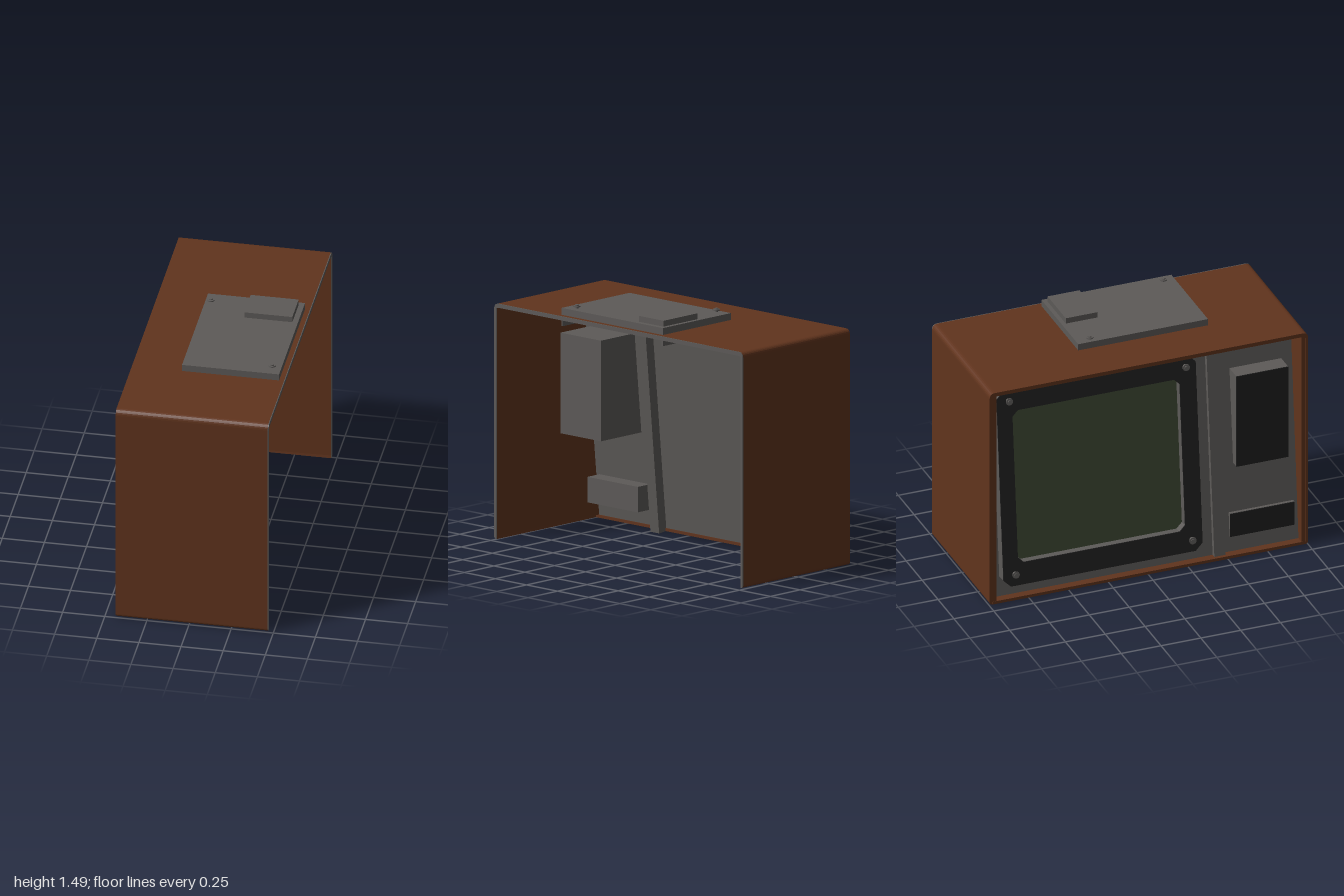
import * as THREE from 'three';

const mat = (name, color) => {
  const m = new THREE.MeshStandardMaterial({ color });
  m.name = name;
  return m;
};

export function createModel() {
  const brown = mat('wood brown', 0x61341d);
  const grey = mat('metal grey', 0x5d5a58);
  const black = mat('bezel black', 0x212121);
  const green = mat('screen green', 0x3c4732);
  const model = new THREE.Group();
  model.name = 'televisionCabinet';

  const add = (parent, name, geometry, material) => {
    const mesh = new THREE.Mesh(geometry, material);
    mesh.name = name;
    parent.add(mesh);
    return mesh;
  };
  // box given by its limits on each axis
  const box = (parent, name, [x0, x1], [y0, y1], [z0, z1], material) => {
    const g = new THREE.BoxGeometry(x1 - x0, y1 - y0, z1 - z0);
    g.translate((x0 + x1) / 2, (y0 + y1) / 2, (z0 + z1) / 2);
    return add(parent, name, g, material);
  };
  // shape drawn in (z, y), extruded between two x positions
  const slab = (parent, name, shape, x0, x1, material) => {
    const g = new THREE.ExtrudeGeometry(shape, { depth: x1 - x0, bevelEnabled: false, curveSegments: 6 });
    g.rotateY(-Math.PI / 2).translate(x1, 0, 0);
    return add(parent, name, g, material);
  };
  // rectangle with cut corners
  const chamfered = (z0, z1, y0, y1, c, Type = THREE.Shape) => {
    const p = [[z0 + c, y0], [z1 - c, y0], [z1, y0 + c], [z1, y1 - c],
      [z1 - c, y1], [z0 + c, y1], [z0, y1 - c], [z0, y0 + c]];
    return new Type(p.map(([a, b]) => new THREE.Vector2(a, b)));
  };
  // small thumb screw pointing up
  const screw = (parent, x, y, z) => {
    const s = new THREE.Group();
    s.name = 'screw';
    [[0.012, 0, 0.006], [0.008, 0.006, 0.022], [0.022, 0.022, 0.029], [0.012, 0.029, 0.035]].forEach(([r, a, b]) => {
      const g = new THREE.CylinderGeometry(r, r, b - a, 16);
      add(s, 'screwPart', g.translate(0, (a + b) / 2, 0), grey);
    });
    s.position.set(x, y, z);
    parent.add(s);
    return s;
  };

  // Cabinet shell: top and two sides, open at the bottom and both ends
  const X0 = -0.435, X1 = 0.472, B = 0.006, T = 1.412, W = 0.018, TW = 0.024, R = 0.035, RB = 0.02;
  const shell = new THREE.Shape();
  shell.moveTo(1 - RB, B);
  shell.quadraticCurveTo(1, B, 1, B + RB);
  shell.lineTo(1, T - R);
  shell.quadraticCurveTo(1, T, 1 - R, T);
  shell.lineTo(-1 + R, T);
  shell.quadraticCurveTo(-1, T, -1, T - R);
  shell.lineTo(-1, B + RB);
  shell.quadraticCurveTo(-1, B, -1 + RB, B);
  shell.lineTo(-1 + W, B + RB);
  shell.lineTo(-1 + W, T - R);
  shell.quadraticCurveTo(-1 + W, T - TW, -1 + R, T - TW);
  shell.lineTo(1 - R, T - TW);
  shell.quadraticCurveTo(1 - W, T - TW, 1 - W, T - R);
  shell.lineTo(1 - W, B + RB);
  shell.closePath();
  slab(model, 'cabinetShell', shell, X0, X1 - 0.005, brown);
  slab(model, 'cabinetRim', shell, X1 - 0.005, X1, grey);
  box(model, 'bottomLip', [X0, -0.37], [B, B + 0.018], [-1 + RB, 1 - RB], brown);

  // Side linings, thicker toward the screen end
  for (const s of [-1, 1]) {
    const lining = box(model, 'sideLining', [X0 + 0.001, X1 - 0.006], [B + 0.018, T - TW], [-0.009, 0.009], brown);
    const p = lining.geometry.attributes.position;
    for (let i = 0; i < p.count; i++) {
      const inner = p.getZ(i) * s < 0;
      const thin = p.getX(i) > 0;
      p.setZ(i, s * (inner ? (thin ? 0.981 : 0.958) : 0.984));
    }
    lining.geometry.computeVertexNormals();
  }

  // Leaning face assembly
  const face = new THREE.Group();
  face.name = 'leaningFace';
  face.position.x = -0.365;
  face.rotation.z = -0.095;
  model.add(face);
  box(face, 'backPanel', [-0.022, -0.012], [0.02, 1.398], [-0.962, 0.962], grey);
  box(face, 'divider', [-0.05, 0.05], [0.005, 1.39], [0.42, 0.49], grey);

  // Screen housing with a deep opening and a black front
  const ring = () => {
    const s = chamfered(-0.915, 0.335, 0.1, 1.345, 0.045);
    s.holes.push(chamfered(-0.82, 0.23, 0.24, 1.21, 0.035, THREE.Path));
    return s;
  };
  slab(face, 'screenHousing', ring(), -0.085, 0.0, grey);
  slab(face, 'screenBezel', ring(), -0.091, -0.085, black);
  slab(face, 'screenBack', chamfered(-0.915, 0.335, 0.1, 1.345, 0.045), 0.0, 0.075, grey);
  box(face, 'screen', [-0.038, -0.03], [0.235, 1.215], [-0.825, 0.235], green);
  for (const y of [0.18, 1.285]) {
    for (const z of [-0.845, 0.265]) screw(face, -0.091, y, z).rotation.z = Math.PI / 2;
  }

  // Control boxes with black fronts
  const control = (name, x1, y, z) => {
    box(model, name, [-0.381, x1], y, z, grey);
    box(model, name + 'Front', [-0.387, -0.381], y, z, black);
  };
  control('tunerBox', 0.02, [0.58, 1.18], [0.57, 0.895]);
  control('speakerBox', -0.25, [0.12, 0.272], [0.53, 0.935]);

  // Top plate, its raised cover and the skirt under the roof
  box(model, 'topPlate', [-0.138, 0.438], [T, 1.453], [-0.325, 0.49], grey);
  box(model, 'raisedCover', [0.12, 0.405], [1.453, 1.488], [-0.3, -0.1], grey);
  const skirtY = [1.345, T - TW];
  box(model, 'skirtSide', [-0.138, -0.128], skirtY, [-0.325, 0.49], grey);
  box(model, 'skirtEnd', [-0.128, 0.438], skirtY, [-0.325, -0.315], grey);
  box(model, 'skirtEnd', [-0.128, 0.438], skirtY, [0.48, 0.49], grey);
  screw(model, -0.105, 1.44, -0.24);
  screw(model, 0.383, 1.44, 0.418);

  return model;
}
